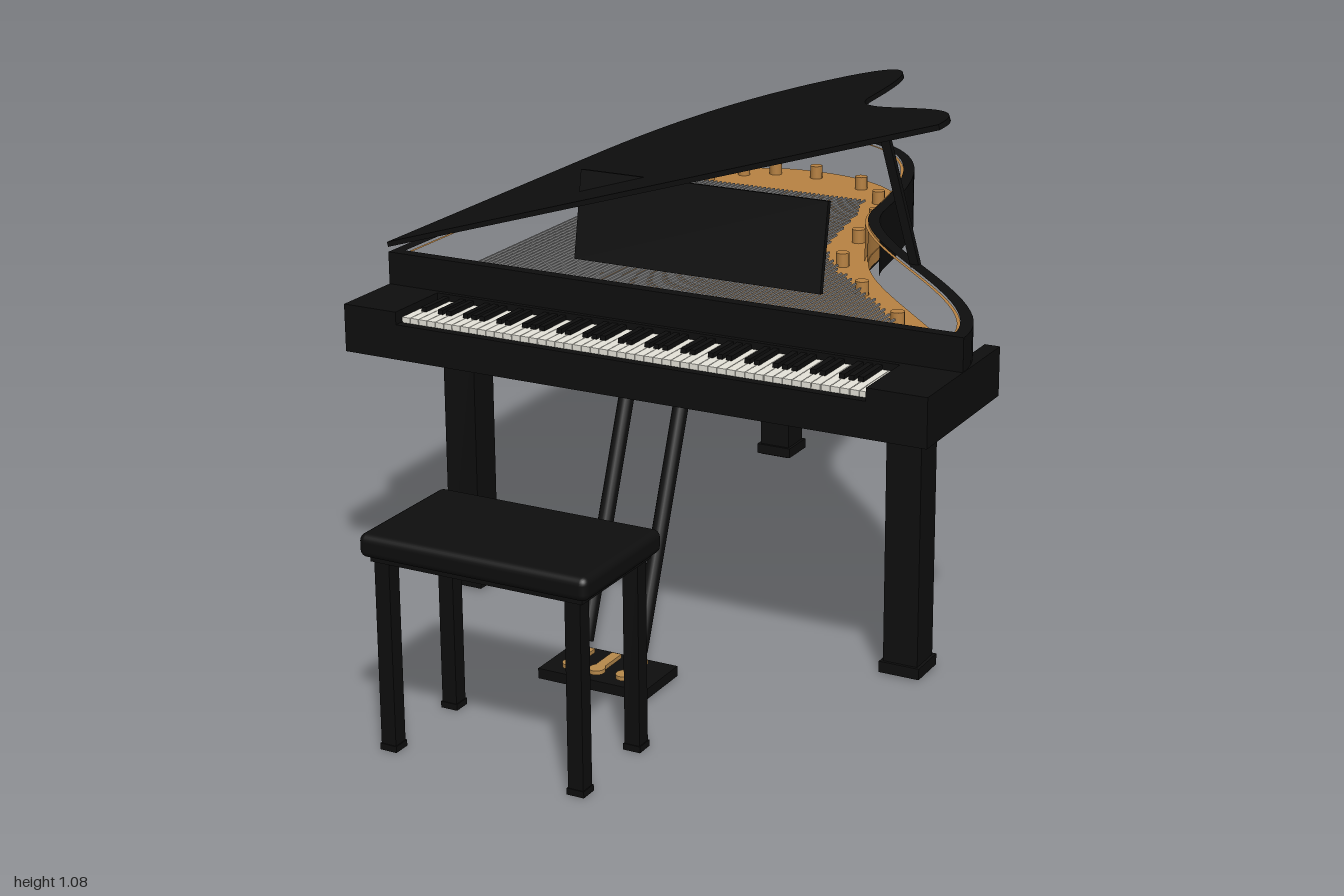
import * as THREE from 'three';
import { mergeGeometries, toCreasedNormals } from 'three/addons/utils/BufferGeometryUtils.js';
import { RoundedBoxGeometry } from 'three/addons/geometries/RoundedBoxGeometry.js';

const material = (name, color) => Object.assign(new THREE.MeshStandardMaterial({ color }), { name });

// Box geometry given by its min and max corners
const boxGeo = (x0, x1, y0, y1, z0, z1) =>
  new THREE.BoxGeometry(x1 - x0, y1 - y0, z1 - z0)
    .translate((x0 + x1) / 2, (y0 + y1) / 2, (z0 + z1) / 2);

// Plan of the case, drawn with shape y = -z
function outlinePoints() {
  const s = new THREE.Shape();
  s.moveTo(-0.61, -0.32);
  s.lineTo(-0.61, 0.5);
  s.bezierCurveTo(-0.61, 0.85, -0.5, 1, -0.31, 1);
  s.bezierCurveTo(0.03, 1, 0.085, 0.65, 0.125, 0.4);
  s.bezierCurveTo(0.17, 0.17, 0.61, -0.08, 0.61, -0.32);
  return s.getPoints(28);
}

// Move a clockwise outline inward by d, with mitred corners
function inset(pts, d) {
  const n = pts.length;
  const normal = (a, b) => new THREE.Vector2(b.y - a.y, a.x - b.x).normalize();
  return pts.map((p, i) => {
    const n1 = normal(pts[(i + n - 1) % n], p);
    const m = n1.clone().add(normal(p, pts[(i + 1) % n])).normalize();
    return p.clone().addScaledVector(m, d / m.dot(n1));
  });
}

// Upright slab from an outline, with an optional hole
function slab(pts, y0, y1, hole) {
  const shape = new THREE.Shape(pts);
  if (hole) shape.holes.push(new THREE.Path(hole));
  const g = new THREE.ExtrudeGeometry(shape, { depth: y1 - y0, bevelEnabled: false });
  return toCreasedNormals(g.rotateX(-Math.PI / 2).translate(0, y0, 0), 0.6);
}

export function createModel() {
  const root = new THREE.Group();
  root.name = 'grandPiano';
  const black = material('blackLacquer', 0x0e0e0e);
  const ivory = material('ivory', 0xe6e4da);
  const wood = material('wood', 0xb98343);
  const brass = material('brass', 0xb88a4c);
  const steel = material('steel', 0x8c8c8c);

  const add = (name, geo, mat, parent = root) => {
    const m = new THREE.Mesh(geo, mat);
    m.name = name;
    parent.add(m);
    return m;
  };
  const box = (name, mat, ...b) => add(name, boxGeo(...b), mat);
  // Straight bar between two points
  const bar = (name, geo, mat, a, b) => {
    const m = add(name, geo, mat);
    m.position.copy(a).add(b).multiplyScalar(0.5);
    m.quaternion.setFromUnitVectors(new THREE.Vector3(0, 1, 0), b.clone().sub(a).normalize());
  };

  // Case: black rim, wooden lining and soundboard
  const outline = outlinePoints();
  add('rim', slab(outline, 0.57, 0.695, inset(outline, 0.024)), black);
  add('rimLining', slab(inset(outline, 0.0235), 0.58, 0.69, inset(outline, 0.03)), wood);
  add('soundboard', slab(inset(outline, 0.022), 0.576, 0.602), wood);

  // Lid, hinged along the left edge
  const lid = add('lid', slab(outline, 0, 0.01).translate(0.61, 0, 0), black);
  lid.position.set(-0.61, 0.705, 0);
  lid.rotation.z = 0.3;
  bar('lidProp', new THREE.BoxGeometry(0.018, 0.295, 0.012), black,
    new THREE.Vector3(0.343, 0.69, -0.075), new THREE.Vector3(0.264, 0.975, -0.075));

  // Strings, ending short of the curved side
  const strings = [];
  for (let x = -0.52; x < 0.41; x += 0.011) {
    const limit = outline.filter(p => p.y < 0.85 && p.x >= x + 0.09 && p.x > 0);
    const end = Math.max(-0.66, ...[-Math.max(...limit.map(p => p.y)) + 0.05]);
    strings.push(boxGeo(x - 0.002, x + 0.002, 0.637, 0.641, end, 0.2));
  }
  add('strings', mergeGeometries(strings), steel);
  box('pinBlock', wood, -0.56, 0.5, 0.6, 0.638, 0.19, 0.25);

  // Small posts following the curved side
  const posts = inset(outline, 0.075).filter((p, i) => i > 5 && i % 6 === 0 && p.y > -0.16);
  posts.forEach(p => add('framePost',
    new THREE.CylinderGeometry(0.014, 0.014, 0.03, 12).translate(p.x, 0.616, -p.y), wood));

  // Music desk, leaning back slightly
  const desk = add('musicDesk', new THREE.BoxGeometry(0.53, 0.175, 0.012), black);
  desk.position.set(0, 0.778, 0.168);
  desk.rotation.x = -0.18;

  // Keybed, cheeks, front rail and fallboard
  box('keybed', black, -0.61, 0.61, 0.535, 0.597, 0.147, 0.475);
  box('keySlip', black, -0.495, 0.495, 0.597, 0.605, 0.457, 0.475);
  box('fallboard', black, -0.495, 0.495, 0.597, 0.63, 0.3, 0.33);
  for (const s of [-1, 1]) {
    const cheek = (a, b, z0, z1) =>
      box('cheek', black, Math.min(s * a, s * b), Math.max(s * a, s * b), 0.597, 0.63, z0, z1);
    cheek(0.492, 0.61, 0.3, 0.475);
    cheek(0.58, 0.61, 0.147, 0.3);
  }

  // 52 white keys with black keys between them, starting at A
  const whites = [], blacks = [], step = 0.98 / 52;
  for (let i = 0; i < 52; i++) {
    const x = -0.49 + i * step;
    whites.push(boxGeo(x + 0.0006, x + step - 0.0006, 0.597, 0.616, 0.325, 0.457));
    if (i < 51 && [0, 1, 3, 4, 5].includes((i + 5) % 7))
      blacks.push(boxGeo(x + step - 0.0055, x + step + 0.0055, 0.61, 0.625, 0.325, 0.41));
  }
  add('whiteKeys', mergeGeometries(whites), ivory);
  add('blackKeys', mergeGeometries(blacks), black);

  // Three legs with wider feet
  for (const [x, z, top] of [[-0.481, 0.245, 0.54], [0.481, 0.245, 0.54], [-0.27, -0.73, 0.58]]) {
    box('leg', black, x - 0.035, x + 0.035, 0, top, z - 0.035, z + 0.035);
    box('legFoot', black, x - 0.041, x + 0.041, 0.003, 0.025, z - 0.041, z + 0.041);
  }

  // Pedal board, pedals and slanted rods
  box('pedalBoard', black, -0.113, 0.113, 0.003, 0.023, 0.475, 0.603);
  for (const x of [-0.057, 0, 0.057]) {
    box('pedal', brass, x - 0.01, x + 0.01, 0.03, 0.038, 0.505, 0.58);
    add('pedalTip', new THREE.CylinderGeometry(0.017, 0.017, 0.008, 16)
      .scale(0.9, 1, 1).translate(x, 0.034, 0.578), brass);
  }
  for (const x of [-0.058, 0.058])
    bar('pedalRod', new THREE.CylinderGeometry(0.015, 0.015, 0.51, 16), black,
      new THREE.Vector3(x, 0.06, 0.52), new THREE.Vector3(x, 0.535, 0.338));

  // Bench
  add('benchSeat', new RoundedBoxGeometry(0.456, 0.044, 0.265, 3, 0.014).translate(0, 0.388, 0.867), black);
  box('benchApron', black, -0.212, 0.212, 0.357, 0.372, 0.75, 0.985);
  for (const x of [-0.191, 0.191]) for (const z of [0.771, 0.967]) {
    box('benchLeg', black, x - 0.015, x + 0.015, 0, 0.36, z - 0.015, z + 0.015);
    box('benchFoot', black, x - 0.017, x + 0.017, 0, 0.012, z - 0.017, z + 0.017);
  }
  return root;
}
